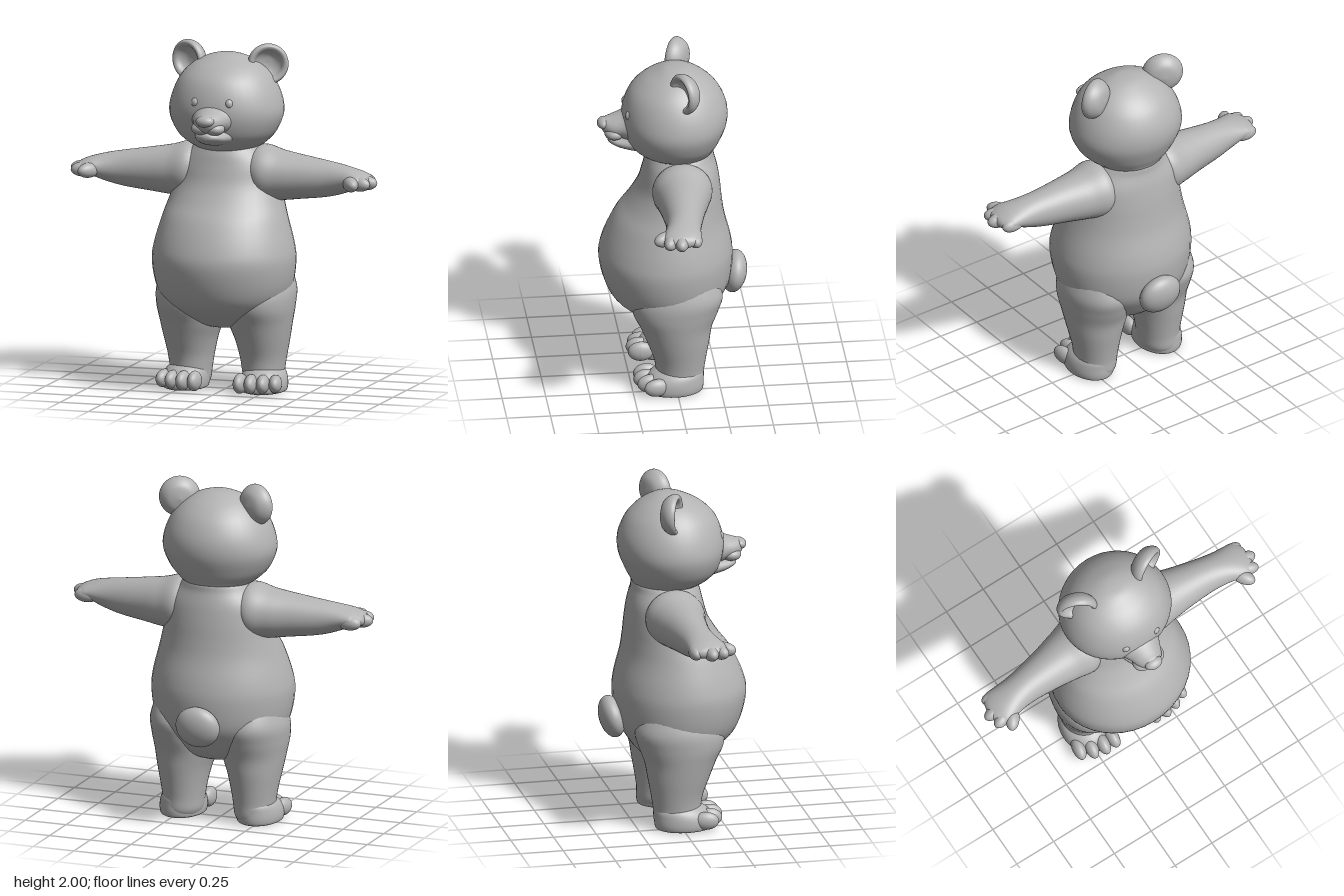
import * as THREE from 'three';
import { mergeVertices } from 'three/addons/utils/BufferGeometryUtils.js';

const grey = new THREE.MeshStandardMaterial({ color: 0xb4b4b4 });
grey.name = 'plain grey';

// Smooth skin over elliptical sections. Each row is [position on axis, lo1, hi1, lo2, hi2],
// ascending, with extents in the other two axes in x, y, z order.
function loft(axis, rows, steps = 5, sides = 40) {
  const spline = (p0, p1, p2, p3, t) => p1 + 0.5 * t * (p2 - p0 + t * (2 * p0 - 5 * p1 + 4 * p2 - p3 + t * (3 * (p1 - p2) + p3 - p0)));
  const row = (i) => rows[Math.min(Math.max(i, 0), rows.length - 1)];
  const pos = [], index = [];
  const put = (t, a, b) => {
    if (axis === 'x') pos.push(t, a, b);
    else if (axis === 'y') pos.push(a, t, b);
    else pos.push(a, b, t);
  };
  const rings = (rows.length - 1) * steps + 1;
  for (let r = 0; r < rings; r++) {
    const i = Math.min(Math.floor(r / steps), rows.length - 2);
    const f = r / steps - i;
    const [t, a0, a1, b0, b1] = rows[0].map((_, k) => spline(row(i - 1)[k], row(i)[k], row(i + 1)[k], row(i + 2)[k], f));
    for (let s = 0; s < sides; s++) {
      // the ring turns the other way for the y axis, keeping faces outward
      const angle = (s / sides) * Math.PI * 2 * (axis === 'y' ? -1 : 1);
      put(t, (a0 + a1) / 2 + ((a1 - a0) / 2) * Math.cos(angle), (b0 + b1) / 2 + ((b1 - b0) / 2) * Math.sin(angle));
    }
  }
  for (let r = 0; r < rings - 1; r++) {
    for (let s = 0; s < sides; s++) {
      const a = r * sides + s, b = r * sides + ((s + 1) % sides);
      index.push(a, b, a + sides, b, b + sides, a + sides);
    }
  }
  // end caps
  for (const [r, end] of [[0, 0], [rings - 1, 1]]) {
    const [t, a0, a1, b0, b1] = rows[end * (rows.length - 1)];
    const centre = pos.length / 3;
    put(t, (a0 + a1) / 2, (b0 + b1) / 2);
    for (let s = 0; s < sides; s++) {
      const a = r * sides + s, b = r * sides + ((s + 1) % sides);
      if (end) index.push(centre, a, b);
      else index.push(centre, b, a);
    }
  }
  const g = new THREE.BufferGeometry();
  g.setAttribute('position', new THREE.Float32BufferAttribute(pos, 3));
  g.setIndex(index);
  const merged = mergeVertices(g, 1e-5);
  merged.computeVertexNormals();
  return merged;
}

// Rows symmetric about x = 0: [position, half width, lo, hi]
const even = (rows) => rows.map(([t, w, lo, hi]) => [t, -w, w, lo, hi]);

function blob(x, y, z, rx, ry, rz, turnY = 0, turnX = 0) {
  return new THREE.SphereGeometry(1, 28, 20).scale(rx, ry, rz).rotateX(turnX).rotateY(turnY).translate(x, y, z);
}

function mirrored(geometry) {
  const g = geometry.clone().scale(-1, 1, 1);
  const idx = g.index.array;
  for (let i = 0; i < idx.length; i += 3) [idx[i], idx[i + 1]] = [idx[i + 1], idx[i]];
  g.computeVertexNormals();
  return g;
}

export function createModel() {
  const model = new THREE.Group();
  model.name = 'bear';
  const add = (name, geometry) => {
    const mesh = new THREE.Mesh(geometry, grey);
    mesh.name = name;
    model.add(mesh);
  };
  const pair = (name, geometry) => {
    add(name + 'Left', geometry);
    add(name + 'Right', mirrored(geometry));
  };

  // Torso with a round belly
  add('torso', loft('y', even([
    [0.355, 0, -0.02, -0.02], [0.37, 0.12, -0.12, 0.1], [0.41, 0.22, -0.2, 0.2], [0.5, 0.33, -0.27, 0.325],
    [0.6, 0.39, -0.325, 0.385], [0.75, 0.415, -0.345, 0.42], [0.86, 0.403, -0.335, 0.4], [1.0, 0.365, -0.3, 0.335],
    [1.1, 0.335, -0.285, 0.26], [1.2, 0.31, -0.275, 0.2], [1.3, 0.285, -0.26, 0.17], [1.38, 0.225, -0.24, 0.15],
    [1.44, 0.17, -0.225, 0.12], [1.48, 0.06, -0.12, 0.05],
  ])));

  // Head
  add('head', loft('y', even([
    [1.36, 0.1, -0.15, 0.08], [1.4, 0.175, -0.22, 0.15], [1.44, 0.235, -0.243, 0.21], [1.5, 0.29, -0.275, 0.26],
    [1.6, 0.33, -0.312, 0.29], [1.7, 0.317, -0.312, 0.283], [1.8, 0.272, -0.27, 0.243], [1.87, 0.21, -0.205, 0.172],
    [1.915, 0.135, -0.135, 0.09], [1.937, 0.065, -0.08, 0.035], [1.942, 0, -0.022, -0.022],
  ])));

  // Muzzle: upper part, lower jaw, lips and nose
  add('muzzle', loft('z', even([
    [0.16, 0.15, 1.49, 1.7], [0.25, 0.125, 1.505, 1.685], [0.3, 0.1, 1.52, 1.665], [0.35, 0.08, 1.53, 1.648],
    [0.385, 0.055, 1.545, 1.638], [0.405, 0.025, 1.57, 1.62], [0.41, 0, 1.595, 1.595],
  ])));
  add('lowerJaw', loft('z', even([
    [0.16, 0.14, 1.43, 1.56], [0.25, 0.105, 1.445, 1.545], [0.3, 0.085, 1.458, 1.535], [0.34, 0.063, 1.475, 1.53],
    [0.365, 0.03, 1.49, 1.522], [0.37, 0, 1.507, 1.507],
  ])));
  pair('lip', blob(0.042, 1.556, 0.335, 0.056, 0.037, 0.056, 0.35));
  add('nose', blob(0, 1.606, 0.392, 0.054, 0.032, 0.038, 0, 0.25));

  // Eyes
  pair('eye', blob(0.1, 1.69, 0.254, 0.025, 0.029, 0.025));

  // Cupped ears facing forward and outward
  const earProfile = new THREE.SplineCurve([
    [0, -0.07], [0.07, -0.057], [0.108, -0.022], [0.118, 0.012], [0.106, 0.034],
    [0.086, 0.028], [0.07, 0.002], [0.04, -0.018], [0, -0.024],
  ].map(([r, h]) => new THREE.Vector2(r, h))).getPoints(36);
  earProfile.forEach((p) => { p.x = Math.max(p.x, 0); });
  pair('ear', new THREE.LatheGeometry(earProfile, 36).rotateX(Math.PI / 2).rotateY(0.45).translate(0.233, 1.882, -0.05));

  // Arms held out to the sides
  pair('arm', loft('x', [
    [0.1, 1.2, 1.36, -0.12, 0.06], [0.21, 1.1, 1.42, -0.205, 0.135], [0.33, 1.105, 1.393, -0.18, 0.122],
    [0.45, 1.12, 1.373, -0.145, 0.108], [0.6, 1.14, 1.35, -0.11, 0.1], [0.7, 1.165, 1.333, -0.092, 0.11],
    [0.78, 1.195, 1.314, -0.085, 0.132], [0.83, 1.207, 1.297, -0.08, 0.132], [0.87, 1.22, 1.275, -0.045, 0.1],
    [0.885, 1.245, 1.245, 0.03, 0.03],
  ]));

  // Fingers: tip x, tip z, direction in plan
  [[0.878, -0.052, 0.1], [0.917, 0.042, -0.1], [0.893, 0.118, -0.4], [0.825, 0.185, -1.0]].forEach(([x, z, turn], i) => {
    const reach = 0.075;
    pair('finger' + (i + 1), blob(x - reach * Math.cos(turn), 1.24, z + reach * Math.sin(turn), reach, 0.043, 0.041, turn));
  });

  // Legs
  pair('leg', loft('y', [
    [0.01, 0.13, 0.3, -0.13, 0.08], [0.05, 0.105, 0.335, -0.155, 0.11], [0.12, 0.095, 0.338, -0.16, 0.115],
    [0.2, 0.082, 0.35, -0.172, 0.128], [0.3, 0.058, 0.37, -0.19, 0.165], [0.4, 0.024, 0.388, -0.208, 0.206],
    [0.5, 0.018, 0.403, -0.245, 0.25], [0.6, 0.04, 0.403, -0.265, 0.24], [0.73, 0.12, 0.36, -0.2, 0.15],
  ]));

  // Feet with flat soles
  pair('foot', loft('y', [
    [0.003, 0.125, 0.345, -0.135, 0.165], [0.012, 0.11, 0.36, -0.15, 0.185], [0.04, 0.104, 0.366, -0.156, 0.19],
    [0.08, 0.104, 0.362, -0.156, 0.178], [0.115, 0.11, 0.348, -0.155, 0.15], [0.145, 0.13, 0.32, -0.14, 0.105],
  ]));

  // Toes: x, tip z
  [[0.137, 0.238], [0.203, 0.243], [0.27, 0.228], [0.333, 0.195]].forEach(([x, tip], i) => {
    pair('toe' + (i + 1), blob(x, 0.064, tip - 0.075, 0.038, 0.058 - i * 0.002, 0.075, 0.06 * i));
  });

  // Tail
  add('tail', blob(0, 0.62, -0.355, 0.132, 0.122, 0.072, 0, -0.2));

  return model;
}
